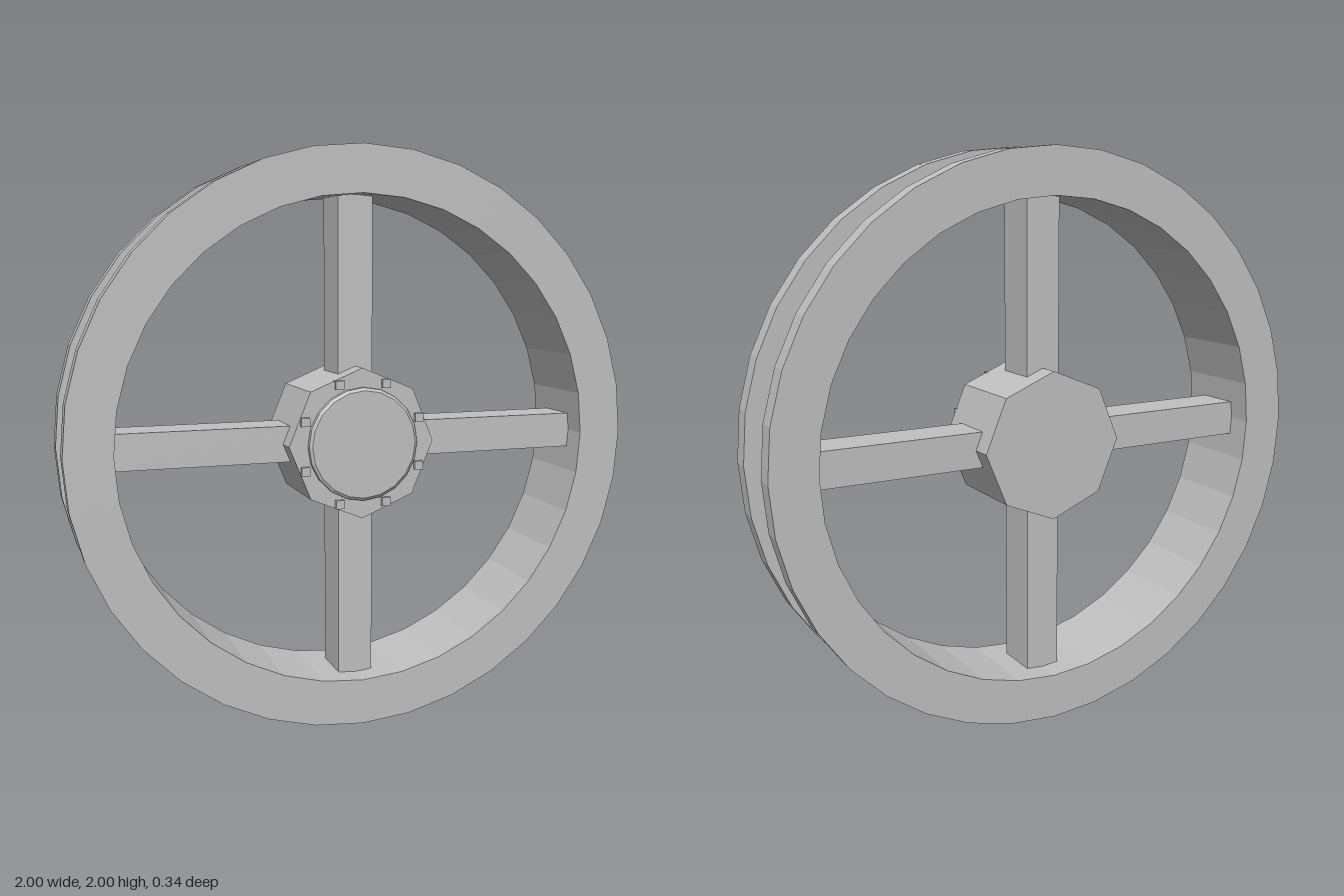
import * as THREE from 'three';

export function createModel() {
  const group = new THREE.Group();
  group.name = 'spokedWheel';
  const steel = new THREE.MeshStandardMaterial({ color: 0xc0c0c0, flatShading: true });
  steel.name = 'steelGrey';

  const add = (name, geometry, x = 0, y = 0, z = 0) => {
    const mesh = new THREE.Mesh(geometry, steel);
    mesh.name = name;
    mesh.position.set(x, y + 1, z);
    group.add(mesh);
    return mesh;
  };

  // Disc or prism whose axis runs front to back
  const drum = (rFront, rBack, zBack, zFront, sides) =>
    new THREE.CylinderGeometry(rFront, rBack, zFront - zBack, sides)
      .rotateX(Math.PI / 2)
      .translate(0, 0, (zFront + zBack) / 2);

  // Rim: two flanges around a shallow groove, closed by the inner wall
  const profile = [
    [0.84, -0.172], [1, -0.172], [1, -0.1], [0.932, -0.1],
    [0.932, 0.088], [1, 0.088], [1, 0.16], [0.84, 0.16], [0.84, -0.172],
  ].map(([r, z]) => new THREE.Vector2(r, z));
  add('rim', new THREE.LatheGeometry(profile, 36).rotateX(Math.PI / 2));

  // Four square spokes running from inside the hub into the rim
  for (let i = 0; i < 4; i++) {
    const spoke = new THREE.BoxGeometry(0.65, 0.124, 0.158).translate(0.525, 0, 0);
    add('spoke', spoke, 0, 0, -0.006).rotation.z = (i * Math.PI) / 2;
  }

  // Octagonal hub with a round cap on its front
  add('hub', drum(0.26, 0.26, -0.16, 0.148, 8));
  add('hubCap', drum(0.195, 0.195, 0.14, 0.165, 20));
  add('hubCapFace', drum(0.185, 0.195, 0.165, 0.172, 20));

  // Eight small square bolts around the cap
  for (const sx of [-1, 1]) {
    for (const sy of [-1, 1]) {
      for (const [x, y] of [[0.084, 0.205], [0.205, 0.084]]) {
        add('bolt', new THREE.BoxGeometry(0.03, 0.03, 0.03), sx * x, sy * y, 0.147);
      }
    }
  }
  return group;
}
